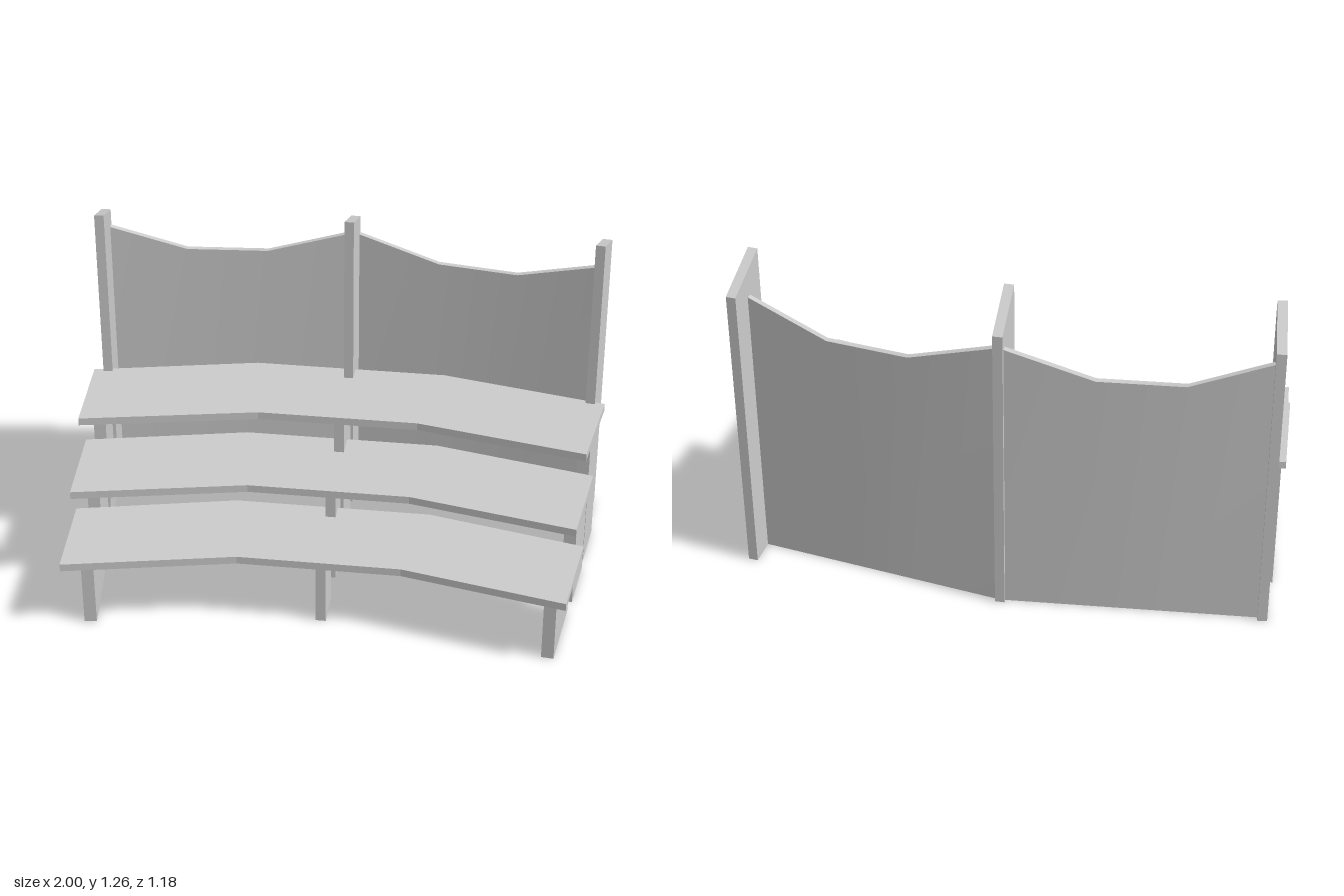
import * as THREE from 'three';
import { toCreasedNormals } from 'three/addons/utils/BufferGeometryUtils.js';

const material = new THREE.MeshStandardMaterial({ color: 0xcccccc });

function add(group, name, geometry, x = 0, y = 0, z = 0, turn = 0) {
  const mesh = new THREE.Mesh(geometry, material);
  mesh.name = name;
  mesh.position.set(x, y, z);
  mesh.rotation.y = turn;
  group.add(mesh);
}

const polygon = (points) => new THREE.Shape(points.map(([x, y]) => new THREE.Vector2(x, y)));

// Bent seat plank: outline in x/z, extruded upwards
function plankGeometry(outline, thickness) {
  const shape = polygon(outline.map(([x, z]) => [x, -z]));
  return new THREE.ExtrudeGeometry(shape, { depth: thickness, bevelEnabled: false }).rotateX(-Math.PI / 2);
}

// Upright with a top sloping down to the back
function postGeometry() {
  const h = 0.1075, t = 0.036;
  const shape = polygon([[-h, 0], [h, 0], [h, 1.18], [-h, 1.26]]);
  const geometry = new THREE.ExtrudeGeometry(shape, { depth: t, bevelEnabled: false });
  return geometry.translate(0, 0, -t / 2).rotateY(Math.PI / 2);
}

// Back panel: straight along the floor, bowed backwards and dipping at the top
function panelGeometry(backLine) {
  const thick = 0.022, heights = [1.125, 1.025, 1.025, 1.125];
  const [x0, z0] = backLine[0], [x1, z1] = backLine[3];
  // each section: front bottom, front top, back top, back bottom
  const sections = backLine.map(([x, z], i) => {
    const floorZ = z0 + (z1 - z0) * (x - x0) / (x1 - x0);
    return [[x, 0, floorZ + thick], [x, heights[i], z + thick], [x, heights[i], z], [x, 0, floorZ]];
  });
  const positions = [];
  const quad = (a, b, c, d) => positions.push(...a, ...b, ...c, ...a, ...c, ...d);
  for (let i = 0; i < 3; i++) {
    const p = sections[i], q = sections[i + 1];
    for (let k = 0; k < 4; k++) {
      const n = (k + 1) % 4;
      quad(p[k], q[k], q[n], p[n]);
    }
  }
  quad(...sections[0]);
  quad(...[...sections[3]].reverse());
  const geometry = new THREE.BufferGeometry();
  geometry.setAttribute('position', new THREE.Float32BufferAttribute(positions, 3));
  return toCreasedNormals(geometry, 0.5);
}

export function createModel() {
  const model = new THREE.Group();
  model.name = 'tieredBench';

  // Three tiers; z is the front edge at the middle, ends are the corner x positions
  const tiers = [
    { name: 'lower', y: 0.25, z: 0.455, left: [0.91, 0.957], right: [0.945, 0.967],
      leg: { x: 0.872, front: 0.55, back: 0.237 }, middle: [0.43, 0.28] },
    { name: 'middle', y: 0.39, z: 0.185, left: [0.928, 0.975], right: [0.96, 0.983],
      leg: { x: 0.919, front: 0.19, back: -0.049 }, middle: [0.15, 0.0] },
    { name: 'upper', y: 0.55, z: -0.08, left: [0.945, 1], right: [0.98, 1],
      leg: { x: 0.947, front: -0.085, back: -0.302 }, middle: [-0.09, -0.3] },
  ];
  const legWidth = 0.046;
  for (const t of tiers) {
    const outline = [
      [-t.right[0], t.z + 0.135], [-0.31, t.z], [0.3, t.z], [t.left[0], t.z + 0.135],
      [t.left[1], t.z - 0.235], [0.37, t.z - 0.37], [-0.37, t.z - 0.37], [-t.right[1], t.z - 0.235],
    ];
    add(model, `${t.name}Seat`, plankGeometry(outline, 0.03), 0, t.y, 0);

    // Splayed end supports
    const { x, front, back } = t.leg;
    for (const side of [-1, 1]) {
      add(model, `${t.name}${side > 0 ? 'Left' : 'Right'}Support`,
        new THREE.BoxGeometry(legWidth, t.y, front - back - 0.004),
        side * x, t.y / 2, (front + back) / 2, -side * 0.12);
    }
    // Centre support
    const [cf, cb] = t.middle;
    add(model, `${t.name}CentreSupport`, new THREE.BoxGeometry(0.038, t.y, cf - cb), 0, t.y / 2, (cf + cb) / 2);
  }

  // Posts
  add(model, 'leftPost', postGeometry(), 0.956, 0, -0.417, -0.11);
  add(model, 'rightPost', postGeometry(), -0.956, 0, -0.417, 0.11);
  add(model, 'centrePost', postGeometry(), 0, 0, -0.4875);

  // Back panels
  add(model, 'rightPanel', panelGeometry([[-0.95, -0.507], [-0.655, -0.552], [-0.34, -0.577], [0, -0.582]]));
  add(model, 'leftPanel', panelGeometry([[0, -0.582], [0.33, -0.553], [0.635, -0.504], [0.948, -0.422]]));

  return model;
}
